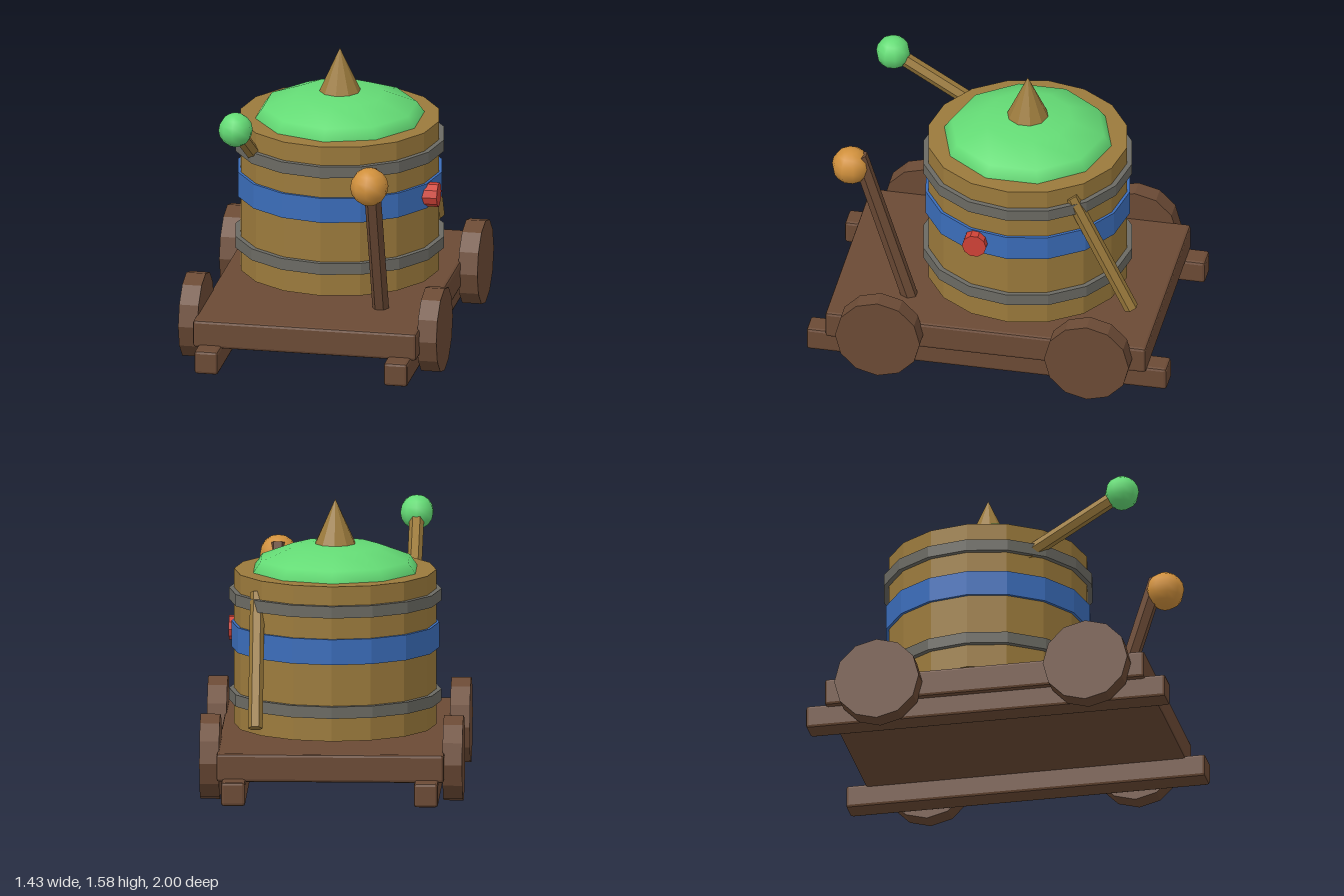
import * as THREE from 'three';
import { RoundedBoxGeometry } from 'three/addons/geometries/RoundedBoxGeometry.js';

const mat = (name, color) => {
  const m = new THREE.MeshStandardMaterial({ color });
  m.name = name;
  return m;
};

// Faceted copy of a geometry
const facet = (g) => {
  const f = g.index ? g.toNonIndexed() : g;
  f.computeVertexNormals();
  return f;
};

export function createModel() {
  const brown = mat('dark wood', 0x6b4a35);
  const gold = mat('pale wood', 0x9b7a3c);
  const green = mat('green', 0x64db75);
  const blue = mat('blue', 0x3b6dba);
  const grey = mat('iron', 0x6b6a63);
  const red = mat('red', 0xcf4237);
  const orange = mat('orange', 0xd0903c);

  const model = new THREE.Group();
  model.name = 'barrelCart';
  const add = (name, geo, material, x, y, z) => {
    const m = new THREE.Mesh(geo, material);
    m.name = name;
    m.position.set(x, y, z);
    model.add(m);
    return m;
  };

  // Cart: deck, two long runners and four wheels
  add('deck', facet(new RoundedBoxGeometry(1.24, 0.155, 1.78, 1, 0.016)), brown, 0, 0.226, 0);
  const runner = facet(new RoundedBoxGeometry(0.132, 0.132, 2, 1, 0.016));
  const wheel = facet(new THREE.CylinderGeometry(0.235, 0.235, 0.107, 12).rotateZ(Math.PI / 2));
  for (const s of [1, -1]) {
    const side = s > 0 ? 'left' : 'right';
    add(side + 'Runner', runner, brown, s * 0.525, 0.1, 0);
    add(side + 'FrontWheel', wheel, brown, s * 0.662, 0.235, 0.58);
    add(side + 'BackWheel', wheel, brown, s * 0.662, 0.235, -0.58);
  }

  // Barrel with its hoops and painted band
  const bz = -0.11;
  const drum = (name, r, y0, y1, material) =>
    add(name, facet(new THREE.CylinderGeometry(r, r, y1 - y0, 16)), material, 0, (y0 + y1) / 2, bz);
  drum('barrel', 0.55, 0.335, 1.19, gold);
  drum('lowerHoop', 0.578, 0.465, 0.53, grey);
  drum('upperHoop', 0.578, 1.02, 1.085, grey);
  drum('paintedBand', 0.566, 0.76, 0.9, blue);

  // Domed lid and spike
  const ball = (r) => new THREE.SphereGeometry(r, 10, 6).rotateY(Math.PI / 2);
  add('lid', ball(0.488).scale(1, 0.19 / 0.488, 1), green, 0, 1.155, bz);
  add('spike', facet(new THREE.ConeGeometry(0.118, 0.255, 10)), gold, 0, 1.45, bz);

  // Round button on the left side
  add('button', facet(new THREE.CylinderGeometry(0.067, 0.067, 0.085, 10).rotateZ(Math.PI / 2)),
    red, 0.542, 0.83, 0.07);

  // Six-sided rods leaning in the yz plane, given by end points [y, z]
  const rod = (name, r, x, [y0, z0], [y1, z1], material) => {
    const g = new THREE.CylinderGeometry(r, r, Math.hypot(y1 - y0, z1 - z0), 6)
      .rotateY(Math.PI / 2).rotateX(Math.atan2(z1 - z0, y1 - y0));
    add(name, facet(g), material, x, (y0 + y1) / 2, (z0 + z1) / 2);
  };
  const knob = (r) => new THREE.SphereGeometry(r, 10, 8).rotateY(Math.PI / 2);

  rod('frontLever', 0.046, 0.342, [0.25, 0.463], [1.175, 0.755], brown);
  add('frontLeverKnob', knob(0.105), orange, 0.342, 1.106, 0.802);
  rod('sideLever', 0.04, -0.415, [1.03, 0.18], [1.358, 0.722], gold);
  add('sideLeverKnob', knob(0.094), green, -0.415, 1.357, 0.722);
  rod('backProp', 0.04, 0.412, [0.425, -0.768], [1.115, -0.433], gold);

  return model;
}
